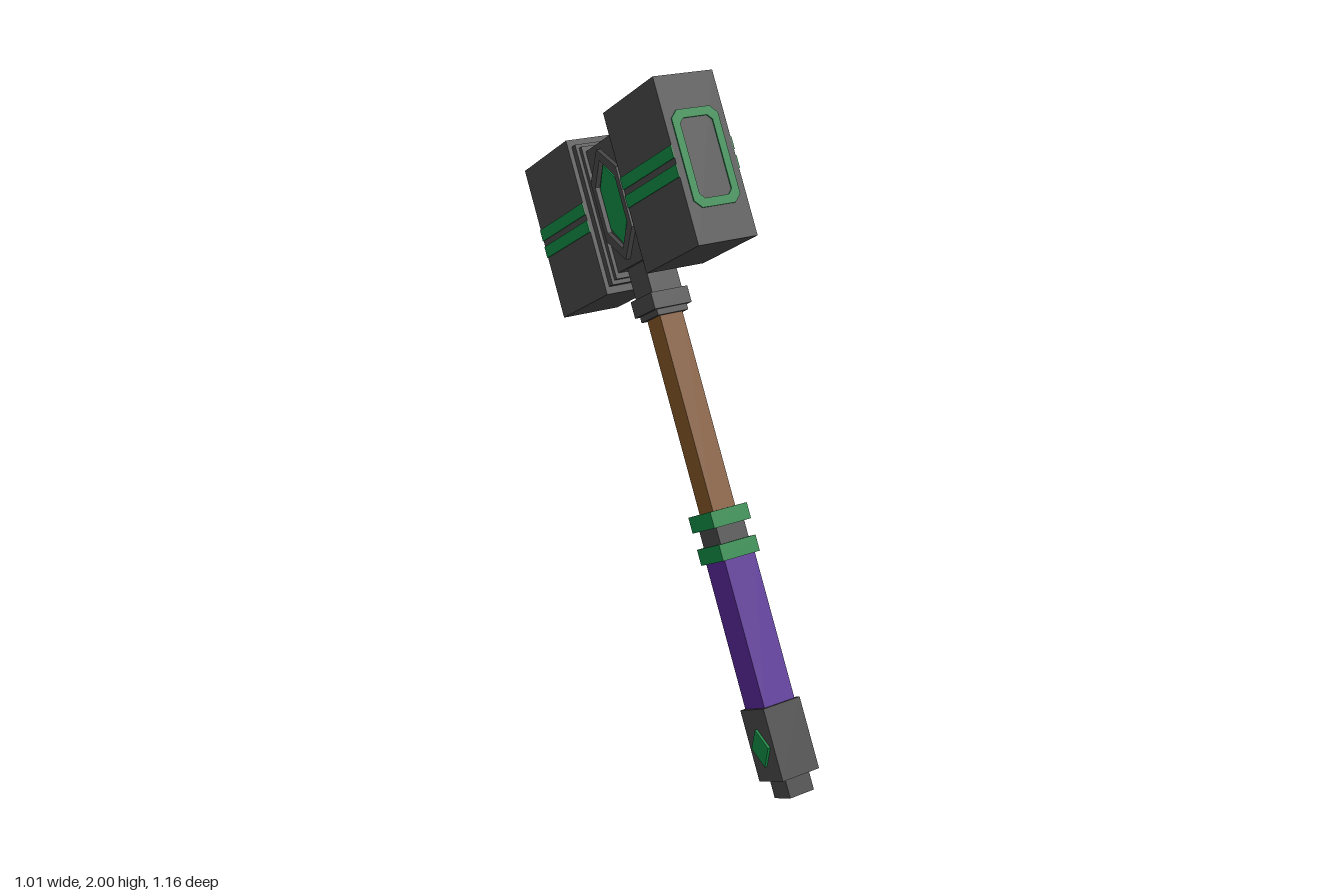
import * as THREE from 'three';

const mat = (name, color) => {
  const m = new THREE.MeshStandardMaterial({ color, flatShading: true });
  m.name = name;
  return m;
};

export function createModel() {
  const iron = mat('dark iron', 0x434343);
  const green = mat('green inlay', 0x10813f);
  const wood = mat('brown wood', 0x7a4f22);
  const grip = mat('purple grip', 0x51258f);

  // Local frame: origin at the head centre, x along the head, y up the handle, z through the faces
  const hammer = new THREE.Group();
  hammer.name = 'hammer';

  const add = (name, geo, material, x = 0, y = 0, z = 0, ry = 0) => {
    const m = new THREE.Mesh(geo, material);
    m.name = name;
    m.position.set(x, y, z);
    m.rotation.y = ry;
    hammer.add(m);
    return m;
  };
  const box = (name, material, w, h, d, x = 0, y = 0, z = 0) =>
    add(name, new THREE.BoxGeometry(w, h, d), material, x, y, z);

  const outline = (pts, Type = THREE.Shape) => new Type(pts.map(p => new THREE.Vector2(...p)));
  const hexagon = (w, h, s) => [[0, h], [-w, s], [-w, -s], [0, -h], [w, -s], [w, s]];
  const cutRect = (w, h, c) => [[w, h - c], [w - c, h], [c - w, h], [-w, h - c],
    [-w, c - h], [c - w, -h], [w - c, -h], [w, c - h]];
  const plate = (pts, depth, hole) => {
    const shape = outline(pts);
    if (hole) shape.holes.push(outline(hole, THREE.Path));
    return new THREE.ExtrudeGeometry(shape, { depth, bevelEnabled: false });
  };

  // Square handle sections: name, material, half width, start and end measured from the butt
  const FOOT = -1.785;
  const sections = [
    ['buttTip', iron, 0.042, 0, 0.056],
    ['buttCap', iron, 0.064, 0.056, 0.267],
    ['gripWrap', grip, 0.053, 0.267, 0.7],
    ['lowerRing', green, 0.064, 0.7, 0.748],
    ['ringSpacer', iron, 0.049, 0.748, 0.797],
    ['upperRing', green, 0.064, 0.797, 0.845],
    ['shaft', wood, 0.039, 0.845, 1.44],
    ['collarStep', iron, 0.052, 1.432, 1.45],
    ['collar', iron, 0.063, 1.45, 1.5],
    ['neck', iron, 0.051, 1.5, 1.62],
  ];
  for (const [name, material, r, a, b] of sections)
    box(name, material, r * 2, b - a, r * 2, 0, FOOT + (a + b) / 2, 0);

  // Middle of the head
  box('headCore', iron, 0.2, 0.376, 0.126);

  for (const s of [-1, 1]) {
    // Striking block with stepped flanges toward the core
    box('strikingBlock', iron, 0.302, 0.479, 0.195, s * 0.276);
    box('outerFlange', iron, 0.024, 0.435, 0.168, s * 0.114);
    box('innerFlange', iron, 0.016, 0.41, 0.148, s * 0.095);

    // Chamfered frame on the striking face
    add('faceFrame', plate(cutRect(0.076, 0.139, 0.022), 0.005, cutRect(0.053, 0.114, 0.014)),
      green, s * 0.426, 0, 0, s * Math.PI / 2);

    // Paired stripes on both broad sides of the block
    for (const f of [-1, 1])
      for (const e of [-1, 1])
        box('stripe', green, 0.302, 0.036, 0.004, s * 0.276, e * 0.027, f * 0.0985);
  }

  // Gem, its bezel and the butt inlay on each broad side
  for (const f of [-1, 1]) {
    const ry = f > 0 ? 0 : Math.PI;
    add('bezel', plate(hexagon(0.082, 0.168, 0.09), 0.016, hexagon(0.062, 0.135, 0.07)),
      iron, 0, 0, f * 0.062, ry);
    add('gem', plate(hexagon(0.051, 0.12, 0.062), 0.008), green, 0, 0, f * 0.062, ry);
    add('buttInlay', plate([[0, 0.055], [-0.045, 0], [0, -0.055], [0.045, 0]], 0.009),
      green, 0, FOOT + 0.155, f * 0.063, ry);
  }

  // Lean the whole hammer onto its tilted axis
  hammer.rotation.set(0, THREE.MathUtils.degToRad(-50), THREE.MathUtils.degToRad(28.7), 'YXZ');
  hammer.position.set(-0.118, 1.585, -0.142);

  const model = new THREE.Group();
  model.name = 'model';
  model.add(hammer);
  return model;
}
